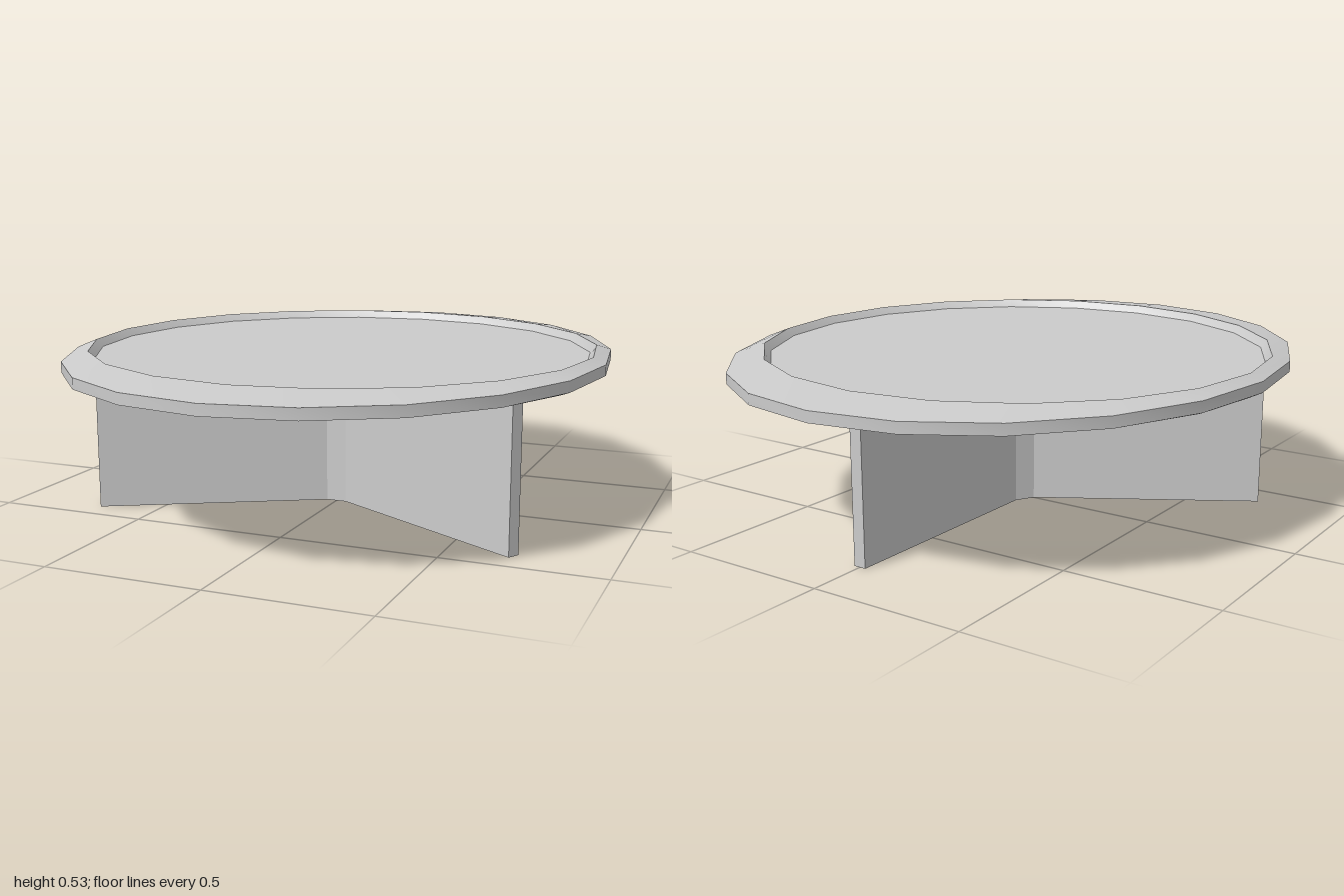
import * as THREE from 'three';
import { toCreasedNormals } from 'three/addons/utils/BufferGeometryUtils.js';

const material = new THREE.MeshStandardMaterial({ color: 0xcccccc });

// Twenty-sided tray: recessed round panel inside an oval bevelled rim
function makeTop() {
  const profile = [
    [0, 0.48], [0.81, 0.48], [0.83, 0.455], [1, 0.475],
    [1, 0.51], [0.83, 0.53], [0.81, 0.505], [0, 0.505],
  ].map(([r, y]) => new THREE.Vector2(r, y));
  const geo = new THREE.LatheGeometry(profile, 20);
  const pos = geo.attributes.position;
  // squeeze only the outer edge sideways, so the rim is wider front and back
  for (let i = 0; i < pos.count; i++) {
    const r = Math.hypot(pos.getX(i), pos.getZ(i));
    if (r > 0.9) pos.setX(i, pos.getX(i) * 0.87);
  }
  const mesh = new THREE.Mesh(toCreasedNormals(geo, 0.4), material);
  mesh.name = 'tabletop';
  return mesh;
}

// Three tapered fins joined around a hexagonal core
function makeBase() {
  const reach = 0.81, halfTip = 0.02, core = 0.067;
  const points = [];
  for (let i = 0; i < 3; i++) {
    const a = Math.PI / 2 + (i * Math.PI * 2) / 3;
    const c = Math.cos(a), s = Math.sin(a);
    const at = (along, side) =>
      points.push(new THREE.Vector2(c * along - s * side, s * along + c * side));
    const rootAlong = core * Math.cos(Math.PI / 6), rootSide = core * 0.5;
    at(rootAlong, -rootSide);
    at(reach, -halfTip);
    at(reach, halfTip);
    at(rootAlong, rootSide);
  }
  const geo = new THREE.ExtrudeGeometry(new THREE.Shape(points), { depth: 0.481, bevelEnabled: false });
  geo.rotateX(-Math.PI / 2);
  const mesh = new THREE.Mesh(geo, material);
  mesh.name = 'threeFinBase';
  return mesh;
}

export function createModel() {
  const model = new THREE.Group();
  model.name = 'lowTable';
  model.add(makeTop(), makeBase());
  return model;
}
